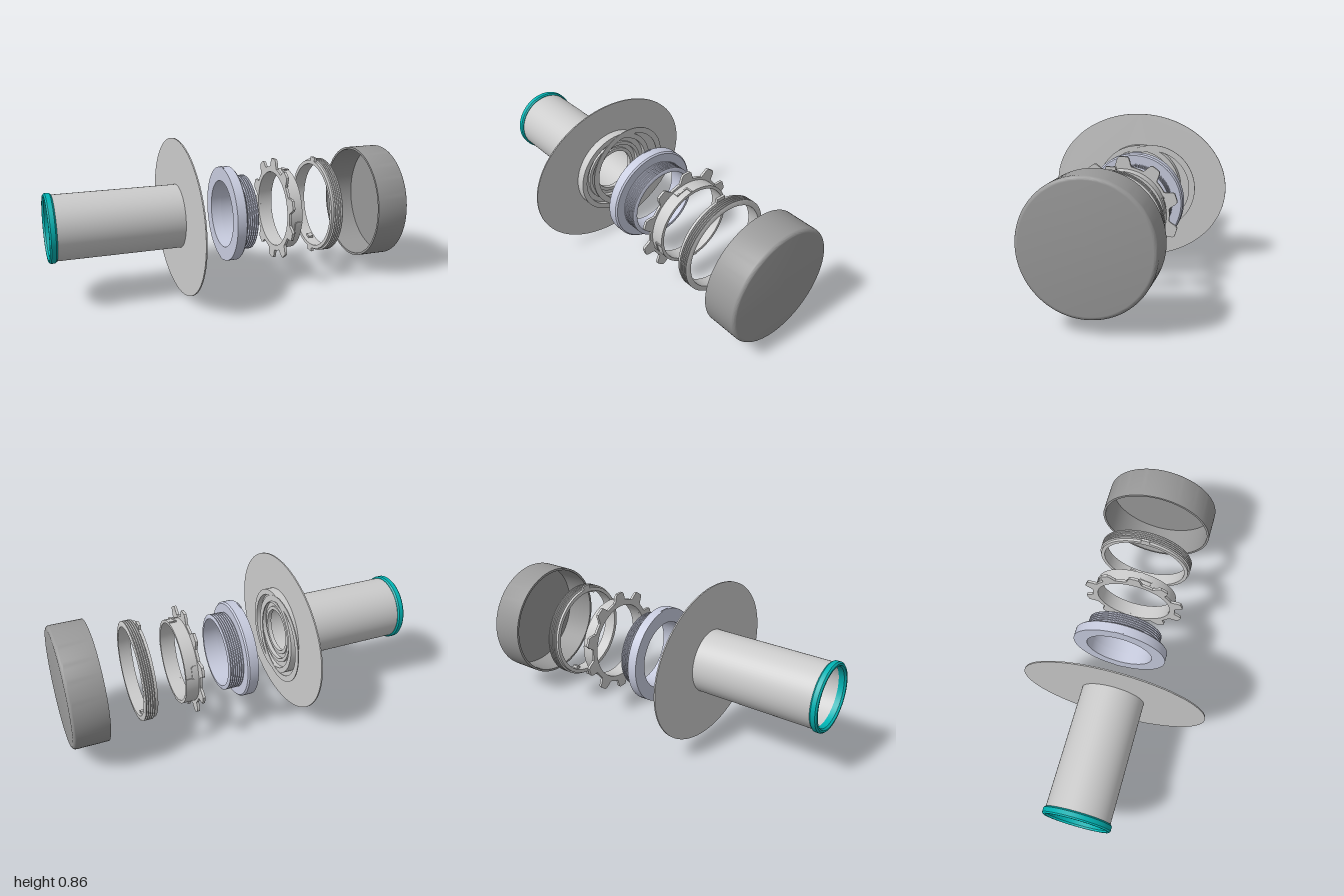
import * as THREE from 'three';
import { toCreasedNormals } from 'three/addons/utils/BufferGeometryUtils.js';

const material = (color) => new THREE.MeshStandardMaterial({ color, side: THREE.DoubleSide });
const GREY = material(0xcccccc);
const DARK = material(0x999999);
const PALE = material(0xc8ccdf);
const TEAL = material(0x00b4b4);

function add(parent, name, geometry, mat = GREY) {
  const mesh = new THREE.Mesh(geometry, mat);
  mesh.name = name;
  parent.add(mesh);
  return mesh;
}

// Revolve [x, radius] pairs around the x axis; outer side left to right, then back inside
function turned(profile, segments = 80) {
  const points = profile.map(([x, r]) => new THREE.Vector2(r, x));
  const geometry = new THREE.LatheGeometry(points, segments).rotateZ(-Math.PI / 2);
  return toCreasedNormals(geometry, 0.5);
}

// Closed rectangular ring
const ring = (x0, x1, outer, inner) =>
  turned([[x0, inner], [x0, outer], [x1, outer], [x1, inner], [x0, inner]]);

// Ring with ridges on its outer side
function threadedRing(x0, x1, outer, inner, ridges, depth) {
  const profile = [[x0, inner], [x0, outer - depth]];
  const pitch = (x1 - x0) / ridges;
  for (let i = 0; i < ridges; i++) {
    const x = x0 + i * pitch;
    profile.push([x + pitch * 0.3, outer], [x + pitch * 0.65, outer], [x + pitch, outer - depth]);
  }
  profile.push([x1, inner], [x0, inner]);
  return turned(profile);
}

// Flat shape extruded along x
const plate = (shape, x, thickness) =>
  new THREE.ExtrudeGeometry(shape, { depth: thickness, bevelEnabled: false, curveSegments: 64 })
    .rotateY(Math.PI / 2)
    .translate(x, 0, 0);

// Box set on a circle around the x axis; angle 0 is straight up
function lug(parent, name, x, radius, angle, size, mat) {
  const geometry = new THREE.BoxGeometry(...size).translate(x, radius, 0).rotateX(angle);
  return add(parent, name, geometry, mat);
}

function station(parent, name, y, z) {
  const group = new THREE.Group();
  group.name = name;
  group.position.set(0, y, z);
  parent.add(group);
  return group;
}

export function createModel() {
  const model = new THREE.Group();
  model.name = 'explodedFitting';

  // Pipe with stepped collar and a narrow mouth
  const pipe = station(model, 'pipeAssembly', 0.43, -0.005);
  add(pipe, 'pipe', ring(-0.98, -0.28, 0.175, 0.163));
  add(pipe, 'collar', turned([
    [-0.285, 0.12], [-0.285, 0.245], [-0.235, 0.245], [-0.235, 0.215],
    [-0.262, 0.215], [-0.262, 0.185], [-0.25, 0.185], [-0.25, 0.165],
    [-0.272, 0.165], [-0.272, 0.14], [-0.262, 0.14], [-0.262, 0.12], [-0.285, 0.12],
  ]));

  // Rounded seal at the pipe's end
  add(pipe, 'endSeal', turned([
    [-0.99, 0.16], [-1, 0.167], [-1, 0.177], [-0.992, 0.185], [-0.968, 0.185],
    [-0.96, 0.178], [-0.96, 0.16], [-0.99, 0.16],
  ]), TEAL);

  // Oval wall flange
  const oval = new THREE.Shape().absellipse(0, 0, 0.513, 0.428, 0, Math.PI * 2);
  oval.holes.push(new THREE.Path().absarc(0.005, 0, 0.172, 0, Math.PI * 2, true));
  const flange = station(model, 'wallFlange', 0.428, 0);
  add(flange, 'flangePlate', plate(oval, -0.289, 0.007));

  // Thin gasket, set off to one side of the collar
  const gasket = station(model, 'gasket', 0.43, -0.09);
  add(gasket, 'gasketRing', ring(-0.238, -0.233, 0.25, 0.215));

  // Pale shouldered ring with a threaded neck
  const neck = station(model, 'threadedNeck', 0.403, -0.047);
  add(neck, 'shoulder', turned([
    [-0.015, 0.19], [-0.015, 0.268], [0.037, 0.268], [0.045, 0.26], [0.045, 0.19], [-0.015, 0.19],
  ]), PALE);
  add(neck, 'neckThread', threadedRing(0.045, 0.13, 0.213, 0.19, 7, 0.008), PALE);
  for (let i = 0; i < 2; i++) {
    lug(neck, 'shoulderTab', -0.012, 0.266, i * Math.PI, [0.006, 0.014, 0.05], PALE);
  }

  // Lobed grip ring with a sleeve
  const grip = station(model, 'gripRing', 0.405, -0.046);
  const lobes = 10;
  const outline = [];
  for (let i = 0; i < 240; i++) {
    const a = (i / 240) * Math.PI * 2;
    const bump = THREE.MathUtils.smoothstep(Math.cos((a - Math.PI / 2) * lobes), -0.3, 0.75);
    const r = 0.246 + 0.049 * bump;
    outline.push(new THREE.Vector2(r * Math.cos(a), r * Math.sin(a)));
  }
  const lobed = new THREE.Shape(outline);
  lobed.holes.push(new THREE.Path().absarc(0, 0, 0.215, 0, Math.PI * 2, true));
  add(grip, 'lobedRim', toCreasedNormals(plate(lobed, 0.296, 0.014), 0.5));
  add(grip, 'gripSleeve', ring(0.31, 0.38, 0.232, 0.215));
  // L-shaped locking ribs on the sleeve
  for (let i = 0; i < 4; i++) {
    const a = (i * Math.PI) / 2 + 0.12;
    lug(grip, 'lockRibAxial', 0.36, 0.233, a, [0.04, 0.008, 0.01]);
    lug(grip, 'lockRibCross', 0.342, 0.232, a + 0.14, [0.008, 0.009, 0.07]);
    lug(grip, 'lockRibEnd', 0.328, 0.232, a + 0.28, [0.035, 0.008, 0.01]);
  }

  // Outer threaded ring with tabs
  const outer = station(model, 'threadedRing', 0.405, -0.048);
  add(outer, 'outerThread', threadedRing(0.56, 0.616, 0.273, 0.243, 5, 0.009));
  add(outer, 'ringBase', ring(0.545, 0.56, 0.264, 0.243));
  for (let i = 0; i < 2; i++) {
    lug(outer, 'ringTab', 0.552, 0.271, i * Math.PI, [0.014, 0.03, 0.05]);
    lug(outer, 'innerTab', 0.585, 0.237, i * Math.PI + 0.35, [0.03, 0.018, 0.03]);
  }

  // Hollow cap, closed at the outer end with a rounded edge
  const cap = station(model, 'cap', 0.402, -0.046);
  const capProfile = [[0.81, 0.315], [0.81, 0.328]];
  for (let i = 0; i <= 6; i++) {
    const a = (i / 6) * Math.PI / 2;
    capProfile.push([0.98 + 0.02 * Math.sin(a), 0.308 + 0.02 * Math.cos(a)]);
  }
  capProfile.push([1, 0], [0.985, 0], [0.985, 0.315], [0.81, 0.315]);
  add(cap, 'capShell', turned(capProfile, 96), DARK);

  return model;
}
